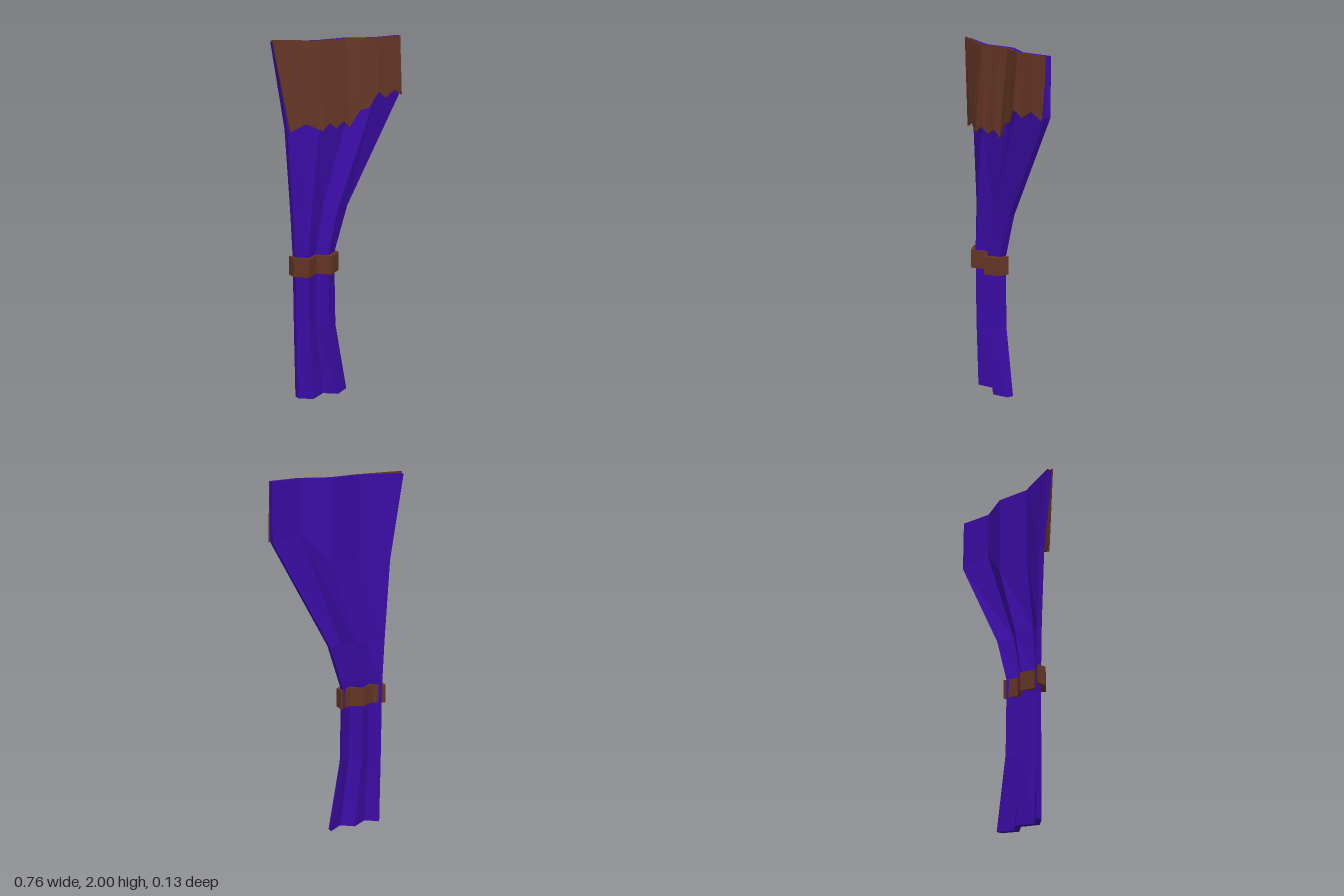
import * as THREE from 'three';

const purple = new THREE.MeshStandardMaterial({ color: 0x3a0ca3, flatShading: true });
const brown = new THREE.MeshStandardMaterial({ color: 0x633524, flatShading: true });

// Closed folded slab: rows run top to bottom, each a list of [x, y, frontZ, backZ].
function foldedSlab(name, rows, material) {
  const pos = [];
  const quad = (a, b, c, d) => pos.push(...a, ...b, ...c, ...a, ...c, ...d);
  const front = ([x, y, f]) => [x, y, f];
  const back = ([x, y, , b]) => [x, y, b];
  const rings = rows.map(r => [...r.map(front), ...r.map(back).reverse()]);
  for (let r = 0; r < rings.length - 1; r++) {
    const up = rings[r], low = rings[r + 1], n = up.length;
    for (let i = 0; i < n; i++) {
      const j = (i + 1) % n;
      quad(up[i], low[i], low[j], up[j]);
    }
  }
  // Top and bottom caps
  const top = rows[0], bottom = rows[rows.length - 1];
  for (let i = 0; i < top.length - 1; i++) {
    quad(front(top[i]), front(top[i + 1]), back(top[i + 1]), back(top[i]));
    quad(back(bottom[i]), back(bottom[i + 1]), front(bottom[i + 1]), front(bottom[i]));
  }
  const geometry = new THREE.BufferGeometry();
  geometry.setAttribute('position', new THREE.Float32BufferAttribute(pos, 3));
  geometry.computeVertexNormals();
  const mesh = new THREE.Mesh(geometry, material);
  mesh.name = name;
  return mesh;
}

// Cloth: five fold lines alternating between back and front
function curtain() {
  const levels = [
    { y: [1.99, 1.99, 1.99, 1.99, 1.99], x: [-0.38, -0.14, 0.04, 0.205, 0.38], ridge: 0.013 },
    { y: [1.53, 1.53, 1.53, 1.7, 1.675], x: [-0.305, -0.14, 0.04, 0.205, 0.38] },
    { y: 1.08, x: [-0.277, -0.19, -0.1, -0.03, 0.055] },
    { y: 0.82, x: [-0.265, -0.21, -0.145, -0.09, -0.027] },
    { y: 0.4, x: [-0.262, -0.205, -0.14, -0.085, -0.02] },
    { y: 0, x: [-0.257, -0.187, -0.1, -0.03, 0.05] },
  ];
  const rows = levels.map(({ y, x, ridge = 0.025 }) => x.map((px, i) =>
    [px, Array.isArray(y) ? y[i] : y, i % 2 ? ridge : -0.025, i % 2 ? -0.01 : -0.06]));
  return foldedSlab('curtain', rows, purple);
}

// Valance: follows the folds, flares forward, and ends in a jagged hem
function valance() {
  const topX = [-0.385, -0.14, 0.04, 0.205, 0.38];
  const topZ = [-0.023, 0.023, -0.024, 0.023, -0.024];
  const hemZ = [0.013, 0.065, 0.025, 0.051, 0.001];
  const hem = [
    [-0.305, 1.52, 0], [-0.225, 1.56, 0.5], [-0.14, 1.52, 1], [-0.095, 1.56, 1.25],
    [-0.05, 1.525, 1.5], [0, 1.56, 1.75], [0.04, 1.52, 2], [0.1, 1.61, 2.36],
    [0.15, 1.62, 2.67], [0.205, 1.705, 3], [0.26, 1.665, 3.33], [0.32, 1.705, 3.67], [0.38, 1.67, 4],
  ];
  const at = (list, t) => {
    const i = Math.min(Math.floor(t), 3);
    return THREE.MathUtils.lerp(list[i], list[i + 1], t - i);
  };
  const slab = (x, y, z) => [x, y, z, z - 0.01];
  const topRow = hem.map(([, , t]) => slab(at(topX, t), 2 - 0.01 * Math.min(t, 1), at(topZ, t)));
  const hemRow = hem.map(([x, y, t]) => slab(x, y, at(hemZ, t)));
  return foldedSlab('valance', [topRow, hemRow], brown);
}

// Tieback: band that hugs the gathered folds
function tieback() {
  const x = [-0.285, -0.22, -0.145, -0.082, -0.008];
  const rows = [0.825, 0.72].map(y => x.map((px, i) =>
    [px, y, i % 2 ? 0.05 : -0.01, i % 2 ? -0.03 : -0.066]));
  return foldedSlab('tieback', rows, brown);
}

export function createModel() {
  const group = new THREE.Group();
  group.name = 'tiedCurtain';
  group.add(curtain(), valance(), tieback());
  return group;
}
